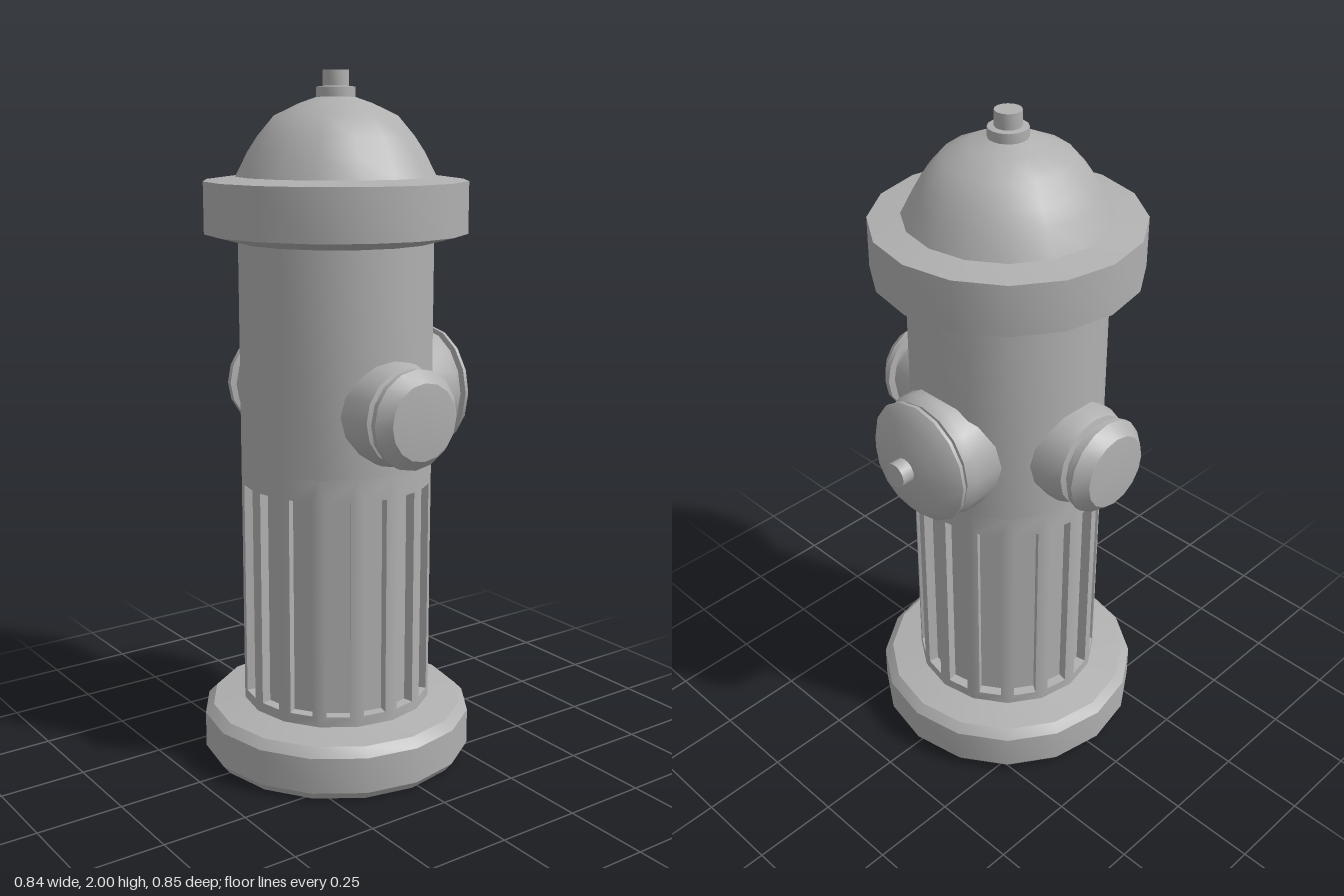
import * as THREE from 'three';
import { toCreasedNormals } from 'three/addons/utils/BufferGeometryUtils.js';

const SIDES = 16;
const BODY_R = 0.28;
const AXIS_X = -0.02;
const CREASE = 0.6;

export function createModel() {
  const iron = new THREE.MeshStandardMaterial({ color: 0xb0b0b0, side: THREE.DoubleSide });
  iron.name = 'grey iron';

  const hydrant = new THREE.Group();
  hydrant.name = 'hydrant';
  hydrant.position.x = AXIS_X;

  const add = (parent, name, geometry) => {
    const mesh = new THREE.Mesh(toCreasedNormals(geometry, CREASE), iron);
    mesh.name = name;
    parent.add(mesh);
    return mesh;
  };
  const lathe = (points) =>
    new THREE.LatheGeometry(points.map(([r, y]) => new THREE.Vector2(r, y)), SIDES);

  // Base ring, open underneath
  add(hydrant, 'base', lathe([
    [BODY_R, 0.17], [0.28, 0], [0.38, 0], [0.4, 0.025], [0.4, 0.13], [0.375, 0.155], [BODY_R, 0.17],
  ]));

  // Barrel: recessed flutes below, plain above
  add(hydrant, 'flutedBarrel', flutedBarrel(0.17, 0.9));
  add(hydrant, 'upperBarrel', lathe([[BODY_R, 0.9], [BODY_R, 1.535]]));

  // Cap flange, dome and top nut
  add(hydrant, 'flange', lathe([
    [BODY_R, 1.53], [0.375, 1.555], [0.375, 1.7], [0.285, 1.712],
  ]));
  add(hydrant, 'dome', lathe([
    [0.285, 1.712], [0.25, 1.78], [0.222, 1.822], [0.175, 1.877], [0.105, 1.91], [0.053, 1.928],
  ]));
  add(hydrant, 'topNut', lathe([
    [0.055, 1.92], [0.055, 1.955], [0.037, 1.957], [0.037, 2], [0, 2],
  ]));

  // Small outlets at the front and back
  const smallOutlet = [
    [0.147, 0.2], [0.147, 0.3], [0.135, 0.335], [0.118, 0.34], [0.118, 0.36],
    [0.14, 0.362], [0.14, 0.378], [0.108, 0.415], [0, 0.424],
  ];
  for (const [name, turn] of [['frontOutlet', 0], ['backOutlet', Math.PI]]) {
    const outlet = new THREE.Group();
    outlet.name = name;
    add(outlet, name + 'Cap', lathe(smallOutlet)).rotation.x = Math.PI / 2;
    outlet.position.y = 1.077;
    outlet.rotation.y = turn;
    hydrant.add(outlet);
  }

  // Large outlet with a bolt on the left
  const side = new THREE.Group();
  side.name = 'sideOutlet';
  side.position.y = 1.077;
  side.rotation.z = -Math.PI / 2;
  add(side, 'sideOutletCap', lathe([
    [0.183, 0.18], [0.183, 0.3], [0.172, 0.327], [0.155, 0.33], [0.155, 0.338],
    [0.18, 0.34], [0.18, 0.35], [0.14, 0.383], [0.03, 0.4], [0, 0.4],
  ]));
  add(side, 'sideBolt', lathe([[0.036, 0.39], [0.036, 0.437], [0, 0.437]]));
  hydrant.add(side);

  const model = new THREE.Group();
  model.name = 'fireHydrant';
  model.add(hydrant);
  return model;
}

// Faceted tube with one sunken panel in every facet
function flutedBarrel(y0, y1) {
  const bottom = 0.2, top = 0.835, inset = 0.19, depth = 0.03;
  const positions = [];
  const quad = (a, b, c, d) => {
    for (const p of [a, b, c, a, c, d]) positions.push(p.x, p.y, p.z);
  };
  for (let i = 0; i < SIDES; i++) {
    const step = (Math.PI * 2) / SIDES;
    const a0 = i * step, a1 = a0 + step, mid = a0 + step / 2;
    const point = (u, y, d = 0) => new THREE.Vector3(
      BODY_R * THREE.MathUtils.lerp(Math.sin(a0), Math.sin(a1), u) - d * Math.sin(mid), y,
      BODY_R * THREE.MathUtils.lerp(Math.cos(a0), Math.cos(a1), u) - d * Math.cos(mid));
    const loop = (u, lo, hi, d) =>
      [point(u, lo, d), point(1 - u, lo, d), point(1 - u, hi, d), point(u, hi, d)];
    const outer = loop(0, y0, y1, 0);
    const rim = loop(inset, bottom, top, 0);
    const floor = loop(inset, bottom, top, depth);
    for (let k = 0; k < 4; k++) {
      const n = (k + 1) % 4;
      quad(outer[k], outer[n], rim[n], rim[k]);
      quad(rim[k], rim[n], floor[n], floor[k]);
    }
    quad(...floor);
  }
  const geometry = new THREE.BufferGeometry();
  geometry.setAttribute('position', new THREE.Float32BufferAttribute(positions, 3));
  return geometry;
}
